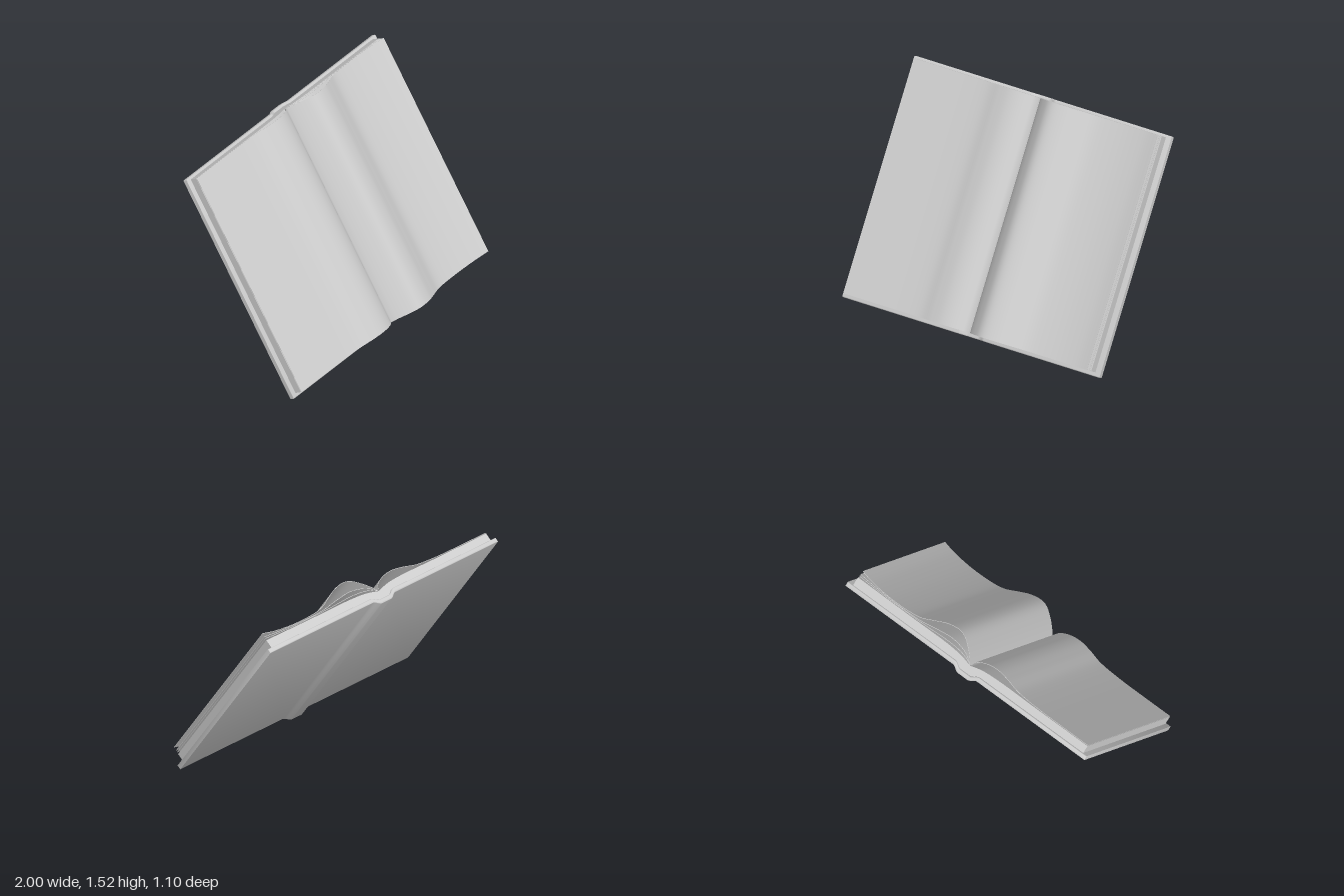
import * as THREE from 'three';
import { toCreasedNormals } from 'three/addons/utils/BufferGeometryUtils.js';

const grey = new THREE.MeshStandardMaterial({ color: 0xcccccc, side: THREE.DoubleSide });

// Smooth list of 2D points through a few [x, height] pairs
const curve = (pairs, n) =>
  new THREE.SplineCurve(pairs.map(([x, h]) => new THREE.Vector2(x, h))).getPoints(n);

// Extrude the area between two profiles along the book's length, from v0 (foot) to v1 (head)
function slab(name, lower, upper, v0, v1, bevel = 0) {
  const shape = new THREE.Shape([...lower, ...[...upper].reverse()]);
  const geo = new THREE.ExtrudeGeometry(shape, {
    depth: v1 - v0 - 2 * bevel,
    bevelEnabled: bevel > 0,
    bevelSize: bevel,
    bevelThickness: bevel,
    bevelOffset: -bevel,
    bevelSegments: 3,
  });
  geo.translate(0, 0, -v1 + bevel);
  const mesh = new THREE.Mesh(toCreasedNormals(geo, 0.6), grey);
  mesh.name = name;
  return mesh;
}

// Cover cross-section: flat boards joined by a spine that bulges backwards
function coverProfile(offset) {
  const pts = [new THREE.Vector2(-1, 0.03 + offset)];
  for (let i = 0; i <= 24; i++) {
    const x = -0.1 + (0.2 * i) / 24;
    const t = Math.min(1, (0.1 - Math.abs(x)) / 0.06);
    pts.push(new THREE.Vector2(x, 0.03 + offset - 0.03 * t * t * (3 - 2 * t)));
  }
  pts.push(new THREE.Vector2(1, 0.03 + offset));
  return pts;
}

export function createModel() {
  const book = new THREE.Group();
  book.name = 'openBook';

  // Cover
  book.add(slab('cover', coverProfile(0), coverProfile(0.032), 0, 1.667, 0.008));

  // Page block resting on the cover, dipping to the gutter
  const blockBottom = coverProfile(0.03);
  blockBottom[0].x = -0.965;
  blockBottom[blockBottom.length - 1].x = 0.96;
  const blockTop = [
    ...curve([[-0.965, 0.118], [-0.5, 0.118], [-0.25, 0.12], [-0.1, 0.112], [0, 0.088]], 30),
    ...curve([[0, 0.088], [0.1, 0.112], [0.25, 0.122], [0.5, 0.122], [0.96, 0.125]], 30).slice(1),
  ];
  book.add(slab('pageBlock', blockBottom, blockTop, 0.028, 1.65));

  // Loose sheets curling up from the gutter
  const sheets = {
    leftSheet: [[-0.965, 0.125], [-0.75, 0.125], [-0.55, 0.127], [-0.38, 0.138], [-0.27, 0.165],
      [-0.18, 0.179], [-0.1, 0.17], [-0.03, 0.138], [-0.002, 0.094]],
    rightLowerSheet: [[0.002, 0.092], [0.05, 0.118], [0.12, 0.134], [0.22, 0.14], [0.4, 0.133],
      [0.6, 0.13], [0.8, 0.133], [0.958, 0.14]],
    rightMiddleSheet: [[0.002, 0.093], [0.04, 0.125], [0.1, 0.155], [0.2, 0.172], [0.32, 0.16],
      [0.45, 0.14], [0.6, 0.135], [0.8, 0.142], [0.957, 0.154]],
    rightTopSheet: [[0.002, 0.095], [0.03, 0.135], [0.08, 0.188], [0.14, 0.235], [0.2, 0.249],
      [0.28, 0.235], [0.36, 0.2], [0.45, 0.16], [0.55, 0.145], [0.7, 0.143], [0.85, 0.157], [0.955, 0.18]],
  };
  for (const [name, pairs] of Object.entries(sheets)) {
    const top = curve(pairs, 60);
    const under = top.map((p) => new THREE.Vector2(p.x, p.y - 0.003));
    book.add(slab(name, under, top, 0.028, 1.65));
  }

  // Lean the book back on its foot
  book.rotation.x = 0.993;
  book.position.set(0, 0.003, 0.358);
  const model = new THREE.Group();
  model.name = 'book';
  model.add(book);
  return model;
}
